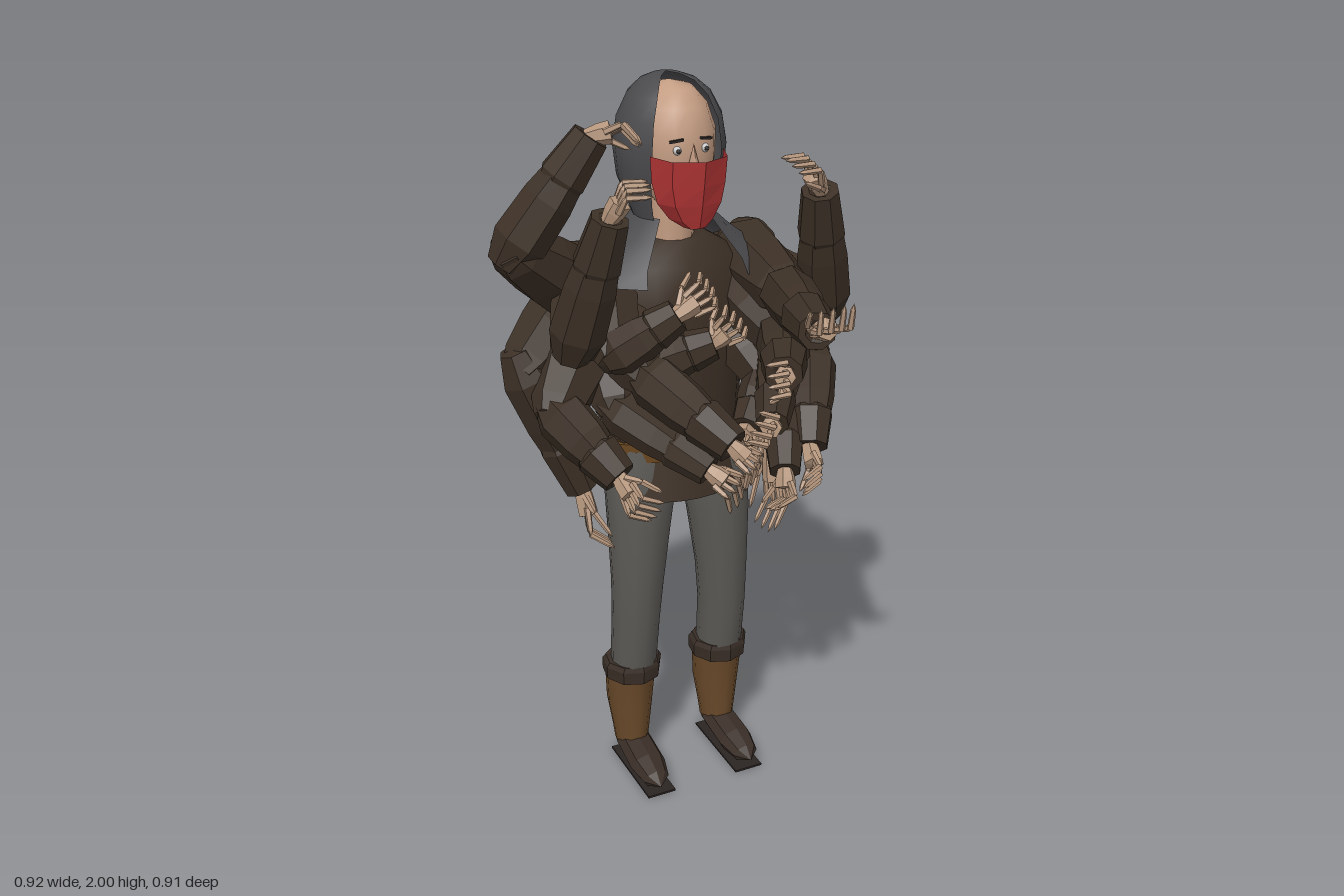
import * as THREE from 'three';

const CX = 0.04; // body axis
const Y = new THREE.Vector3(0, 1, 0);
const V = (a) => new THREE.Vector3(...a);
const mat = (color, flatShading = false) =>
  new THREE.MeshStandardMaterial({ color, flatShading, roughness: 0.9, side: THREE.DoubleSide });
const M = {
  sleeve: mat(0x3c3026, true), coat: mat(0x3c3026), hood: mat(0x4b4b4e), trousers: mat(0x5c5a56),
  boot: mat(0x6a4a2a), shoe: mat(0x3a2e27, true), skin: mat(0xc39c82), hand: mat(0xb4957c, true),
  mask: mat(0xb03434, true), belt: mat(0x66451f, true), dark: mat(0x2a2422), eye: mat(0xd8d8d4),
};

function add(parent, name, geometry, material, pos = [0, 0, 0]) {
  const mesh = new THREE.Mesh(geometry, material);
  mesh.name = name;
  mesh.position.set(...pos);
  parent.add(mesh);
  return mesh;
}

// Surface through equal-length rings of points
function skinRings(rings, closed) {
  const n = rings[0].length, index = [];
  for (let j = 0; j < rings.length - 1; j++)
    for (let i = 0; i < (closed ? n : n - 1); i++) {
      const a = j * n + i, b = j * n + ((i + 1) % n);
      index.push(a, b, b + n, a, b + n, a + n);
    }
  const g = new THREE.BufferGeometry();
  g.setAttribute('position', new THREE.Float32BufferAttribute(rings.flat().flatMap((p) => p.toArray()), 3));
  g.setIndex(index);
  g.computeVertexNormals();
  return g;
}

// Elliptical cross-sections [y, rx, rz, cx, cz]; angle 0 faces the front
function loft(sections, n = 12) {
  return skinRings(sections.map(([y, rx, rz, cx, cz]) => Array.from({ length: n }, (_, i) => {
    const a = (i / n) * Math.PI * 2;
    return new THREE.Vector3(cx + rx * Math.sin(a), y, cz + rz * Math.cos(a));
  })), true);
}

// Partial shell: sections [y, rx, rz, cz, startDeg, endDeg]
function shell(sections, n = 12) {
  return skinRings(sections.map(([y, rx, rz, cz, s, e]) => Array.from({ length: n + 1 }, (_, i) => {
    const a = THREE.MathUtils.degToRad(s + ((e - s) * i) / n);
    return new THREE.Vector3(CX + rx * Math.sin(a), y, cz + rz * Math.cos(a));
  })), false);
}

// Straight limb from a to b with stations [t, radius]
function limb(a, b, stations, n = 7, squash = 1) {
  const q = new THREE.Quaternion().setFromUnitVectors(Y, b.clone().sub(a).normalize());
  return skinRings(stations.map(([t, r]) => Array.from({ length: n }, (_, i) => {
    const u = (i / n) * Math.PI * 2;
    return new THREE.Vector3(r * Math.sin(u), 0, r * squash * Math.cos(u)).applyQuaternion(q).add(a.clone().lerp(b, t));
  })), true);
}

// Bony hand reaching from wrist to tip, fingers bending along curl
function hand(parent, wrist, tip, curl) {
  const g = new THREE.Group();
  g.name = 'hand';
  const dir = tip.clone().sub(wrist), len = dir.length();
  dir.normalize();
  const side = dir.clone().cross(curl).normalize(), bend = side.clone().cross(dir).normalize();
  const at = (f, s, c) => wrist.clone().addScaledVector(dir, f * len).addScaledVector(side, s).addScaledVector(bend, c);
  add(g, 'palm', limb(wrist, at(0.4, 0, 0), [[-0.3, 0], [-0.3, 0.018], [0.4, 0.026], [1, 0.028], [1.1, 0]], 6), M.hand);
  const bone = (a, b, r) => add(g, 'fingerBone', limb(a, b, [[0, r], [0.75, r * 0.8], [1, 0]], 5), M.hand);
  for (let i = 0; i < 4; i++) {
    const s = (i - 1.5) * 0.019, reach = 0.78 - Math.abs(i - 1.3) * 0.05;
    const knuckle = at(reach, s * 1.4, -0.01);
    bone(at(0.28, s, 0), knuckle, 0.0095);
    bone(knuckle.clone().lerp(at(0.28, s, 0), 0.12), at(reach + 0.22, s * 1.4, 0.045), 0.0085);
  }
  bone(at(0.1, 0.018, 0), at(0.4, 0.05, 0.016), 0.0105);
  bone(at(0.36, 0.046, 0.014), at(0.75, 0.055, 0.045), 0.0085);
  parent.add(g);
}

// One sleeve with shoulder, upper arm, forearm, cuff and hand
function arm(parent, name, [shoulder, elbow, wrist, tip, curl], bulk = 1) {
  const g = new THREE.Group();
  g.name = name;
  const [s, e, w, t, c] = [shoulder, elbow, wrist, tip, curl].map(V);
  const scaled = (list) => list.map(([k, r]) => [k, r * bulk]);
  add(g, 'upperArm', limb(s, e, scaled([[-0.28, 0], [-0.25, 0.055], [0.05, 0.1], [0.55, 0.09], [0.95, 0.072], [1.12, 0.05], [1.15, 0]])), M.sleeve);
  add(g, 'forearm', limb(e, w, scaled([[-0.16, 0], [-0.14, 0.045], [0.08, 0.072], [0.45, 0.066], [0.72, 0.052]])), M.sleeve);
  add(g, 'cuff', limb(e, w, scaled([[0.6, 0.056], [0.64, 0.062], [1, 0.048], [1, 0.03], [0.95, 0]]), 8), M.sleeve);
  hand(g, w, t, c);
  parent.add(g);
}

function leg(parent, s) {
  const g = new THREE.Group();
  g.name = s > 0 ? 'leftLeg' : 'rightLeg';
  const x = (d) => CX + s * d;
  add(g, 'trouserLeg', loft([[0.33, 0.064, 0.073, x(0.137), -0.215], [0.5, 0.067, 0.074, x(0.135), -0.195],
    [0.62, 0.073, 0.077, x(0.13), -0.19], [0.8, 0.088, 0.09, x(0.12), -0.195],
    [0.95, 0.104, 0.1, x(0.106), -0.21], [1.04, 0.102, 0.1, x(0.1), -0.22]]), M.trousers);
  add(g, 'boot', loft([[0.06, 0.045, 0.06, x(0.14), -0.235], [0.1, 0.05, 0.065, x(0.14), -0.235],
    [0.2, 0.064, 0.077, x(0.14), -0.242], [0.28, 0.069, 0.08, x(0.14), -0.235], [0.34, 0.071, 0.08, x(0.14), -0.225]]), M.boot);
  add(g, 'bootCuff', loft([[0.3, 0.07, 0.08, x(0.138), -0.228], [0.305, 0.083, 0.089, x(0.138), -0.226],
    [0.345, 0.086, 0.086, x(0.138), -0.22], [0.36, 0.078, 0.078, x(0.138), -0.216], [0.355, 0.05, 0.06, x(0.138), -0.216]], 9), M.shoe);
  add(g, 'foot', limb(V([x(0.138), 0.075, -0.27]), V([x(0.145), 0.034, -0.02]),
    [[-0.08, 0], [-0.06, 0.032], [0.2, 0.05], [0.65, 0.052], [0.9, 0.038], [1.04, 0]], 8, 0.75), M.shoe);
  add(g, 'sole', new THREE.BoxGeometry(0.085, 0.006, 0.27), M.dark, [x(0.14), 0.003, -0.15]);
  parent.add(g);
}

export function createModel() {
  const root = new THREE.Group();
  root.name = 'manyArmedFigure';
  for (const s of [-1, 1]) leg(root, s);

  // Coat body, flaps and belt
  add(root, 'coatBody', loft([[0.97, 0.18, 0.11, CX, -0.22], [1.06, 0.19, 0.12, CX, -0.225], [1.25, 0.2, 0.14, CX, -0.235],
    [1.42, 0.22, 0.155, CX, -0.25], [1.53, 0.2, 0.14, CX, -0.26], [1.59, 0.1, 0.09, CX, -0.25], [1.6, 0, 0, CX, -0.25]], 14), M.coat);
  add(root, 'frontFlap', shell([[0.9, 0.2, 0.155, -0.225, -45, 45], [1.03, 0.19, 0.12, -0.22, -40, 40]], 6), M.coat);
  add(root, 'backFlap', shell([[0.9, 0.21, 0.13, -0.225, 105, 255], [1.03, 0.2, 0.125, -0.22, 92, 268]], 10), M.coat);
  const beltGroup = new THREE.Group();
  beltGroup.name = 'belt';
  add(beltGroup, 'beltBand', loft([[1.01, 0.2, 0.12, CX, -0.225], [1.01, 0.212, 0.132, CX, -0.225],
    [1.06, 0.212, 0.132, CX, -0.225], [1.06, 0.2, 0.12, CX, -0.225]], 12), M.belt);
  add(beltGroup, 'buckle', new THREE.BoxGeometry(0.07, 0.06, 0.02), M.belt, [CX, 1.03, -0.093]);
  for (const x of [-0.16, 0.24]) add(beltGroup, 'pouch', new THREE.BoxGeometry(0.05, 0.1, 0.07), M.belt, [x, 1.01, -0.22]);
  add(beltGroup, 'backPouch', new THREE.BoxGeometry(0.06, 0.09, 0.03), M.belt, [0.13, 1.02, -0.34]);
  root.add(beltGroup);

  // Extra shoulder masses bulging behind and beside the cape: [centre, radii]
  for (const [p, r] of [
    [[-0.04, 1.41, -0.36], [0.14, 0.11, 0.1]], [[0.26, 1.42, -0.33], [0.11, 0.13, 0.09]],
    [[-0.2, 1.5, -0.28], [0.08, 0.09, 0.09]], [[0.29, 1.5, -0.28], [0.08, 0.09, 0.09]],
  ]) add(root, 'shoulderPad', new THREE.SphereGeometry(1, 9, 6), M.sleeve, p).scale.set(...r);

  // Shoulder cape and hood, both open at the front
  add(root, 'cape', shell([[1.51, 0.265, 0.2, -0.235, 32, 328], [1.55, 0.235, 0.185, -0.24, 34, 326],
    [1.61, 0.155, 0.15, -0.24, 38, 322], [1.66, 0.1, 0.115, -0.235, 42, 318]], 14), M.hood);
  for (const [a, b, c, d] of [[52, 90, 48, 110], [270, 308, 250, 312]])
    add(root, 'hoodLappet', shell([[1.63, 0.095, 0.1, -0.225, a, b], [1.7, 0.118, 0.115, -0.23, c, d]], 4), M.hood);
  add(root, 'hood', shell([[1.69, 0.115, 0.11, -0.23, 48, 312], [1.75, 0.137, 0.127, -0.235, 43, 317],
    [1.83, 0.146, 0.135, -0.235, 40, 320], [1.9, 0.134, 0.127, -0.235, 40, 320], [1.955, 0.105, 0.105, -0.237, 40, 320],
    [1.985, 0.07, 0.072, -0.242, 42, 318], [1.997, 0.035, 0.036, -0.25, 45, 315], [2, 0, 0, -0.255, 0, 360]], 16), M.hood);

  // Head, face and mask
  add(root, 'neck', loft([[1.56, 0.06, 0.06, CX, -0.23], [1.74, 0.055, 0.06, CX, -0.23]], 10), M.skin);
  add(root, 'head', loft([[1.66, 0, 0, CX, -0.16], [1.67, 0.045, 0.05, CX, -0.165], [1.73, 0.085, 0.09, CX, -0.2],
    [1.8, 0.103, 0.115, CX, -0.215], [1.87, 0.108, 0.12, CX, -0.222], [1.93, 0.09, 0.105, CX, -0.23],
    [1.97, 0.056, 0.07, CX, -0.235], [1.985, 0, 0, CX, -0.235]], 16), M.skin);
  add(root, 'nose', new THREE.ConeGeometry(0.014, 0.05, 4), M.skin, [CX, 1.83, -0.095]);
  for (const s of [-1, 1]) {
    add(root, 'eye', new THREE.SphereGeometry(0.011, 8, 6), M.eye, [CX + s * 0.038, 1.838, -0.109]);
    add(root, 'pupil', new THREE.SphereGeometry(0.006, 6, 5), M.dark, [CX + s * 0.038, 1.838, -0.101]);
    const brow = add(root, 'eyebrow', new THREE.BoxGeometry(0.035, 0.006, 0.008), M.dark, [CX + s * 0.04, 1.862, -0.107]);
    brow.rotation.set(0, s * 0.3, -s * 0.15);
    const tail = add(root, 'maskTie', new THREE.ConeGeometry(0.01, 0.06, 4), M.mask, [CX + s * 0.015, 1.72, -0.325]);
    tail.rotation.z = s * 0.3;
  }
  add(root, 'mask', shell([[1.65, 0.03, 0.03, -0.09, -90, 90], [1.67, 0.06, 0.055, -0.11, -90, 90], [1.71, 0.088, 0.075, -0.12, -90, 90],
    [1.76, 0.097, 0.09, -0.125, -95, 95], [1.825, 0.1, 0.1, -0.125, -95, 95]], 4), M.mask);

  // Arms: shoulder, elbow, wrist, fingertip, curl direction
  const right = [
    [[-0.2, 1.46, -0.3], [-0.4, 1.62, -0.19], [-0.21, 1.89, -0.14], [-0.1, 1.91, -0.1], [0, -1, 0.4]],
    [[-0.18, 1.46, -0.24], [-0.3, 1.41, -0.06], [-0.24, 1.74, 0.04], [-0.19, 1.84, 0.08], [1, 0, 0.3]],
    [[-0.19, 1.42, -0.33], [-0.38, 1.3, -0.22], [-0.25, 0.95, -0.18], [-0.23, 0.77, -0.12], [1, 0, 0.3]],
    [[-0.19, 1.36, -0.25], [-0.34, 1.22, -0.1], [-0.24, 1.08, 0.06], [-0.21, 1, 0.16], [1, -0.3, 0]],
    [[-0.14, 1.4, -0.22], [-0.12, 1.3, -0.03], [0.01, 1.17, 0.19], [0.07, 1.1, 0.24], [0.3, -1, 0]],
    [[-0.15, 1.46, -0.22], [-0.2, 1.36, -0.05], [-0.05, 1.46, 0], [0.07, 1.52, -0.01], [0.3, 0, -1]],
    [[-0.15, 1.32, -0.22], [-0.18, 1.2, -0.09], [-0.02, 1.08, 0.12], [0.05, 1.02, 0.19], [0.5, -1, 0]],
    [[-0.1, 1.38, -0.2], [-0.1, 1.31, -0.06], [0.05, 1.37, 0], [0.12, 1.43, 0.02], [0.3, 0, -1]],
  ];
  const left = [
    [[0.27, 1.5, -0.28], [0.25, 1.48, 0], [0.15, 1.5, 0.34], [0.14, 1.56, 0.47], [0, 1, -0.3]],
    [[0.26, 1.46, -0.24], [0.4, 1.41, -0.06], [0.32, 1.74, 0.04], [0.25, 1.85, 0.07], [-1, -0.3, 0]],
    [[0.27, 1.42, -0.33], [0.39, 1.29, -0.25], [0.32, 0.95, -0.18], [0.32, 0.71, -0.14], [-1, 0, 0.3]],
    [[0.27, 1.38, -0.25], [0.39, 1.24, -0.1], [0.3, 1.06, 0.07], [0.27, 0.99, 0.18], [-1, -0.3, 0]],
    [[0.23, 1.44, -0.22], [0.25, 1.36, 0], [0.12, 1.36, 0.24], [0.08, 1.38, 0.32], [-1, 0, 0]],
    [[0.23, 1.38, -0.22], [0.27, 1.29, -0.05], [0.13, 1.2, 0.17], [0.07, 1.22, 0.26], [-1, 0.4, 0]],
    [[0.24, 1.32, -0.22], [0.3, 1.17, -0.09], [0.21, 1.02, 0.1], [0.19, 0.93, 0.15], [-1, 0, 0]],
    [[0.2, 1.34, -0.2], [0.24, 1.22, -0.06], [0.12, 1.14, 0.05], [0.06, 1.12, 0.12], [0, -1, 0]],
  ];
  right.forEach((a, i) => arm(root, 'rightArm' + (i + 1), a, i > 4 ? 0.88 : 1));
  left.forEach((a, i) => arm(root, 'leftArm' + (i + 1), a, i > 4 ? 0.88 : 1));
  return root;
}
